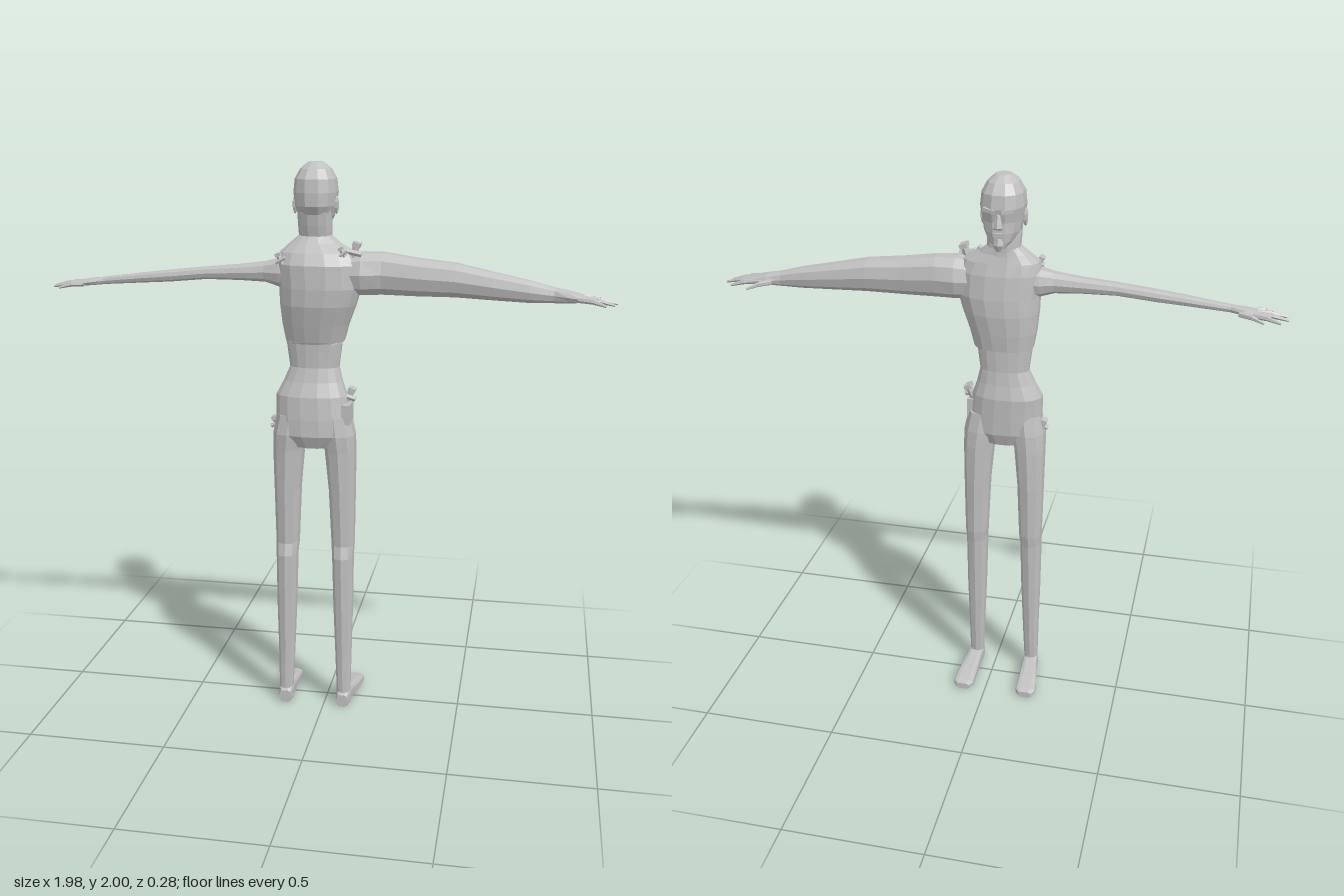
import * as THREE from 'three';

const grey = new THREE.MeshStandardMaterial({ color: 0xc0c0c0 });
grey.name = 'plain grey';
grey.flatShading = true;
const MID = -0.037; // x of the body's centre line

// Closed loft; each section is [position, u, v, radiusU, radiusV] along the axis.
function loft(name, axis, sections, n = 12, power = 2.3) {
  const place = {
    x: (s, u, v) => [s, u, v],
    y: (s, u, v) => [u, s, v],
    z: (s, u, v) => [u, v, s],
  }[axis];
  const bend = (t) => Math.sign(t) * Math.pow(Math.abs(t), 2 / power);
  const pos = [];
  const index = [];
  for (const [s, u, v, ru, rv] of sections) {
    for (let i = 0; i < n; i++) {
      const a = ((i + 0.5) / n) * Math.PI * 2;
      pos.push(...place(s, u + ru * bend(Math.cos(a)), v + rv * bend(Math.sin(a))));
    }
  }
  const first = sections[0];
  const last = sections[sections.length - 1];
  const c0 = pos.length / 3;
  pos.push(...place(first[0], first[1], first[2]), ...place(last[0], last[1], last[2]));
  const top = (sections.length - 1) * n;
  for (let i = 0; i < n; i++) {
    const j = (i + 1) % n;
    for (let k = 0; k < top; k += n) index.push(k + i, k + j, k + n + j, k + i, k + n + j, k + n + i);
    index.push(c0, j, i, c0 + 1, top + i, top + j);
  }
  // Turn the faces outward, judged by the signed volume
  const at = (i) => new THREE.Vector3().fromArray(pos, i * 3);
  let volume = 0;
  for (let i = 0; i < index.length; i += 3) {
    volume += at(index[i]).dot(at(index[i + 1]).cross(at(index[i + 2])));
  }
  if (volume < 0) index.reverse();
  const g = new THREE.BufferGeometry();
  g.setAttribute('position', new THREE.Float32BufferAttribute(pos, 3));
  g.setIndex(index);
  return mesh(name, g);
}

function mesh(name, geometry, x = 0, y = 0, z = 0) {
  geometry.computeVertexNormals();
  const m = new THREE.Mesh(geometry, grey);
  m.name = name;
  m.position.set(x, y, z);
  return m;
}

// Tapered rod between two points
function rod(name, a, b, ra, rb, sides = 6) {
  const p = new THREE.Vector3(...a);
  const q = new THREE.Vector3(...b);
  const d = q.clone().sub(p);
  const m = mesh(name, new THREE.CylinderGeometry(rb, ra, d.length(), sides));
  m.position.copy(p).add(q).multiplyScalar(0.5);
  m.quaternion.setFromUnitVectors(new THREE.Vector3(0, 1, 0), d.normalize());
  return m;
}

function makeHead() {
  const head = new THREE.Group();
  head.name = 'head';
  head.add(loft('skull', 'y', [
    [1.768, MID, -0.05, 0.018, 0.016], [1.79, MID, -0.018, 0.044, 0.05],
    [1.82, MID, 0.008, 0.062, 0.078], [1.855, MID, 0.02, 0.07, 0.088],
    [1.9, MID, 0.016, 0.076, 0.094], [1.945, MID, 0.017, 0.071, 0.088],
    [1.978, MID, 0.017, 0.053, 0.064], [2, MID, 0.015, 0.026, 0.03],
  ]));
  head.add(loft('neck', 'y', [
    [1.69, MID, 0.035, 0.075, 0.06], [1.74, MID, 0.026, 0.057, 0.045],
    [1.79, MID, 0.033, 0.059, 0.05], [1.84, MID, 0.042, 0.06, 0.05],
  ]));
  head.add(loft('nose', 'y', [
    [1.835, MID, -0.07, 0.015, 0.01], [1.842, MID, -0.074, 0.016, 0.017],
    [1.885, MID, -0.068, 0.008, 0.012],
  ], 6));
  head.add(mesh('lips', new THREE.BoxGeometry(0.036, 0.012, 0.02), MID, 1.817, -0.067));
  head.add(loft('goatee', 'y', [
    [1.758, MID, -0.06, 0.006, 0.006], [1.78, MID, -0.06, 0.019, 0.018],
    [1.803, MID, -0.056, 0.016, 0.016],
  ], 6));
  for (const s of [-1, 1]) {
    const brow = mesh('brow', new THREE.BoxGeometry(0.042, 0.012, 0.02), MID + s * 0.03, 1.896, -0.068);
    brow.rotation.set(0, -s * 0.3, s * 0.15);
    const ear = mesh('ear', new THREE.SphereGeometry(1, 6, 5), MID + s * 0.072, 1.858, 0.025);
    ear.scale.set(0.009, 0.032, 0.02);
    head.add(brow, ear);
  }
  return head;
}

function makeLeg(s) {
  const leg = new THREE.Group();
  leg.name = s > 0 ? 'leftLeg' : 'rightLeg';
  const side = (list) => list.map(([p, d, ...rest]) => [p, MID + s * d, ...rest]);
  leg.add(loft('thighAndShin', 'y', side([
    [1.13, 0.078, 0.06, 0.055, 0.065], [1.06, 0.088, 0.058, 0.06, 0.074],
    [1, 0.094, 0.053, 0.056, 0.072], [0.85, 0.1, 0.048, 0.048, 0.067],
    [0.64, 0.103, 0.044, 0.042, 0.055], [0.595, 0.104, 0.053, 0.039, 0.058],
    [0.4, 0.106, 0.055, 0.036, 0.047], [0.2, 0.108, 0.058, 0.03, 0.036],
    [0.06, 0.11, 0.063, 0.026, 0.029], [0.02, 0.11, 0.064, 0.025, 0.028],
  ]), 10));
  leg.add(loft('foot', 'z', side([
    [0.1, 0.109, 0.024, 0.02, 0.024], [0.07, 0.11, 0.033, 0.028, 0.033],
    [0.02, 0.113, 0.029, 0.029, 0.029], [-0.07, 0.121, 0.021, 0.037, 0.021],
    [-0.122, 0.123, 0.015, 0.038, 0.015], [-0.14, 0.123, 0.012, 0.024, 0.012],
  ]), 12, 4));
  return leg;
}

// Arm loft plus fingers given as [rootX, rootZ, tipX, tipZ]
function makeArm(name, sections, fingers, rootY, tipY) {
  const arm = new THREE.Group();
  arm.name = name;
  arm.add(loft('armAndPalm', 'x', sections, 10));
  for (const [x0, z0, x1, z1] of fingers) {
    const knuckle = [x0 + (x1 - x0) * 0.5, (rootY + tipY) / 2 + 0.005, (z0 + z1) / 2];
    arm.add(rod('finger', [x0, rootY, z0], knuckle, 0.01, 0.009));
    arm.add(rod('fingertip', knuckle, [x1, tipY, z1], 0.009, 0.004));
  }
  return arm;
}

// Small cluster of fittings: a stub, a crossing peg and a block
function makeFitting(name, x, y, z, size, tilt) {
  const g = new THREE.Group();
  g.name = name;
  g.add(rod('stub', [0, -size, 0], [0, size, 0], size * 0.5, size * 0.5));
  g.add(rod('peg', [-size, -size * 0.4, size * 0.3], [size, -size * 0.2, size * 0.3], size * 0.4, size * 0.4));
  g.add(mesh('block', new THREE.BoxGeometry(size, size * 0.6, size * 1.6), 0, size * 0.8, 0));
  g.position.set(x, y, z);
  g.rotation.z = tilt;
  return g;
}

export function createModel() {
  const model = new THREE.Group();
  model.name = 'standingFigure';

  // Torso with a ledge below the chest
  model.add(loft('torso', 'y', [
    [1.755, MID, 0.028, 0.058, 0.044], [1.73, MID, 0.036, 0.088, 0.055],
    [1.7, -0.026, 0.046, 0.132, 0.073], [1.66, -0.02, 0.052, 0.148, 0.09],
    [1.58, -0.016, 0.049, 0.144, 0.097], [1.52, -0.024, 0.046, 0.134, 0.096],
    [1.45, -0.034, 0.039, 0.118, 0.083], [1.392, MID, 0.034, 0.105, 0.071],
    [1.384, MID, 0.05, 0.099, 0.051], [1.3, MID, 0.048, 0.088, 0.05],
    [1.25, -0.042, 0.051, 0.105, 0.06], [1.2, -0.046, 0.055, 0.127, 0.075],
    [1.12, -0.041, 0.06, 0.132, 0.078], [1.06, MID, 0.062, 0.135, 0.078],
    [1.015, MID, 0.06, 0.08, 0.06],
  ], 16));
  model.add(makeHead());
  for (const s of [-1, 1]) model.add(makeLeg(s));

  // The left arm is bulkier than the right
  model.add(makeArm('leftArm', [
    [0.04, 1.625, 0.05, 0.06, 0.06], [0.13, 1.629, 0.043, 0.075, 0.075],
    [0.2, 1.63, 0.036, 0.074, 0.066], [0.32, 1.62, 0.039, 0.066, 0.06],
    [0.45, 1.613, 0.04, 0.059, 0.055], [0.58, 1.596, 0.045, 0.048, 0.046],
    [0.7, 1.581, 0.048, 0.038, 0.036], [0.78, 1.571, 0.046, 0.027, 0.026],
    [0.83, 1.567, 0.046, 0.021, 0.036], [0.88, 1.562, 0.05, 0.013, 0.04],
  ], [
    [0.81, 0.02, 0.89, -0.025], [0.865, 0.022, 0.96, 0.004], [0.87, 0.042, 0.99, 0.038],
    [0.87, 0.062, 0.98, 0.073], [0.86, 0.08, 0.95, 0.1],
  ], 1.562, 1.545));
  model.add(makeArm('rightArm', [
    [-0.08, 1.63, 0.05, 0.055, 0.06], [-0.16, 1.628, 0.05, 0.05, 0.052],
    [-0.21, 1.629, 0.051, 0.036, 0.04], [-0.3, 1.625, 0.054, 0.028, 0.034],
    [-0.42, 1.62, 0.056, 0.022, 0.029], [-0.55, 1.607, 0.057, 0.021, 0.028],
    [-0.65, 1.598, 0.056, 0.018, 0.025], [-0.8, 1.583, 0.053, 0.013, 0.017],
    [-0.845, 1.578, 0.05, 0.013, 0.03], [-0.89, 1.573, 0.05, 0.01, 0.036],
  ], [
    [-0.83, 0.028, -0.91, -0.01], [-0.875, 0.024, -0.965, 0.0], [-0.88, 0.042, -0.99, 0.038],
    [-0.88, 0.06, -0.985, 0.072], [-0.87, 0.078, -0.955, 0.1],
  ], 1.573, 1.56));

  // Small fittings on the shoulders and hips
  model.add(makeFitting('leftShoulderFitting', 0.108, 1.71, 0.075, 0.026, -0.3));
  model.add(makeFitting('leftCollarFitting', 0.07, 1.705, 0.1, 0.017, 0.5));
  model.add(makeFitting('rightShoulderFitting', -0.147, 1.68, 0.105, 0.019, 0.4));
  model.add(makeFitting('leftHipFitting', 0.088, 1.2, 0.045, 0.025, -0.4));
  model.add(mesh('leftHipPouch', new THREE.BoxGeometry(0.03, 0.07, 0.09), 0.083, 1.14, 0.07));
  model.add(makeFitting('rightHipFitting', -0.178, 1.09, 0.05, 0.021, 0.3));
  return model;
}
